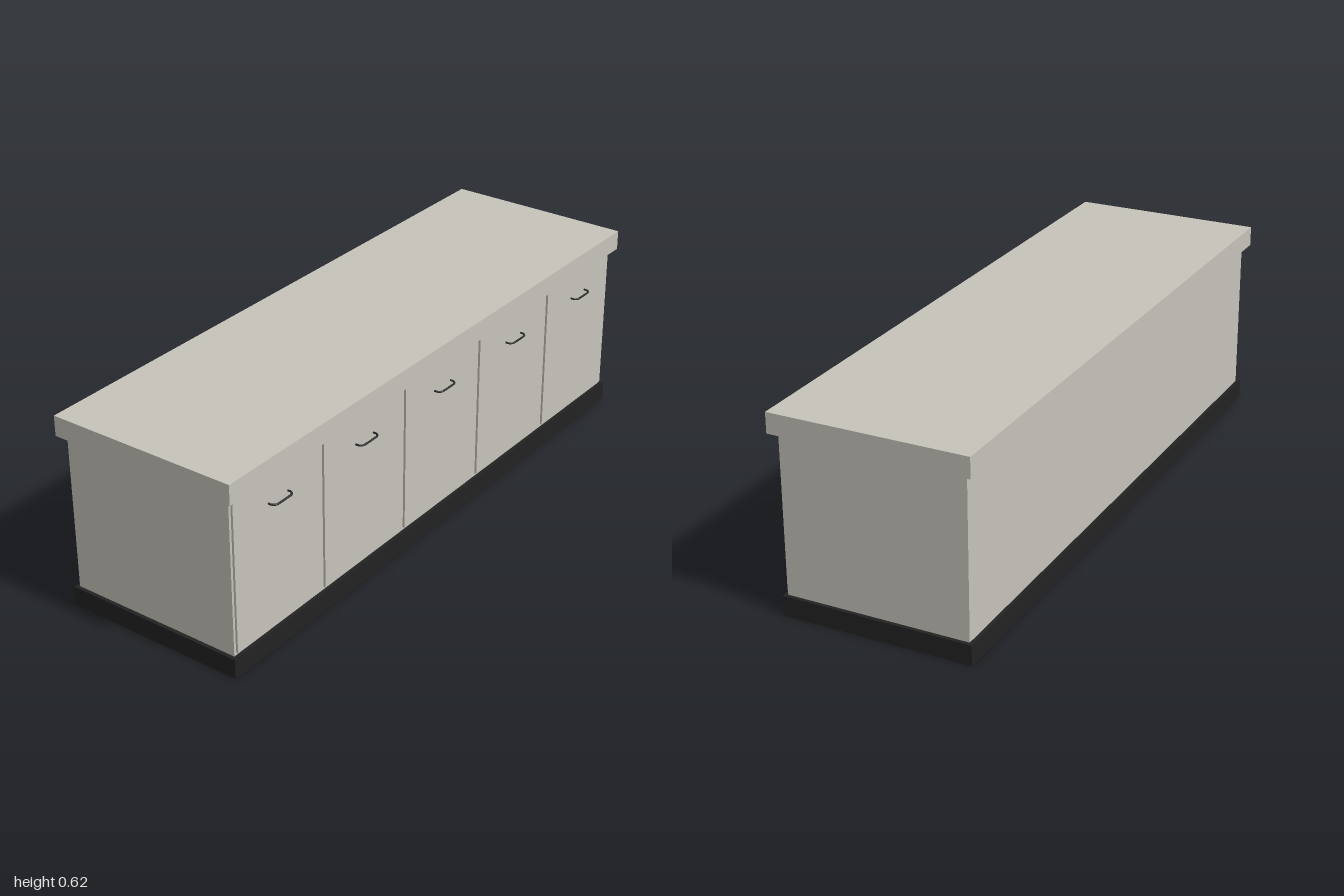
import * as THREE from 'three';

const stone = new THREE.MeshStandardMaterial({ color: 0xc6c3ba });
stone.name = 'warmGrey';
const black = new THREE.MeshStandardMaterial({ color: 0x222222 });
black.name = 'plinthBlack';
const metal = new THREE.MeshStandardMaterial({ color: 0x2c2c2c });
metal.name = 'handleMetal';

// Box given by its half width and its y and z ranges
function slab(name, halfWidth, y0, y1, z0, z1, material) {
  const mesh = new THREE.Mesh(new THREE.BoxGeometry(halfWidth * 2, y1 - y0, z1 - z0), material);
  mesh.position.set(0, (y0 + y1) / 2, (z0 + z1) / 2);
  mesh.name = name;
  return mesh;
}

// Bow handle: short legs rising from the door into a straight grip
function handleGeometry() {
  const path = new THREE.CatmullRomCurve3([
    [-0.042, 0], [-0.041, 0.012], [-0.032, 0.021], [-0.018, 0.022],
    [0.018, 0.022], [0.032, 0.021], [0.041, 0.012], [0.042, 0],
  ].map(([x, z]) => new THREE.Vector3(x, 0, z)));
  return new THREE.TubeGeometry(path, 36, 0.003, 8);
}

export function createModel() {
  const model = new THREE.Group();
  model.name = 'counter';

  model.add(
    slab('plinth', 0.99, 0, 0.063, -0.302, 0.294, black),
    slab('cabinetBody', 0.978, 0.063, 0.5605, -0.29, 0.282, stone),
    slab('countertop', 1, 0.5605, 0.624, -0.312, 0.306, stone),
  );

  // Five doors, each with a handle near its top
  const pitch = 0.391;
  const grip = handleGeometry();
  for (let i = -2; i <= 2; i++) {
    const unit = new THREE.Group();
    unit.name = `doorUnit${i + 3}`;
    unit.position.x = i * pitch;
    unit.add(slab('door', 0.188, 0.072, 0.552, 0.282, 0.289, stone));
    const handle = new THREE.Mesh(grip, metal);
    handle.name = 'handle';
    handle.position.set(0, 0.475, 0.289);
    unit.add(handle);
    model.add(unit);
  }
  return model;
}
